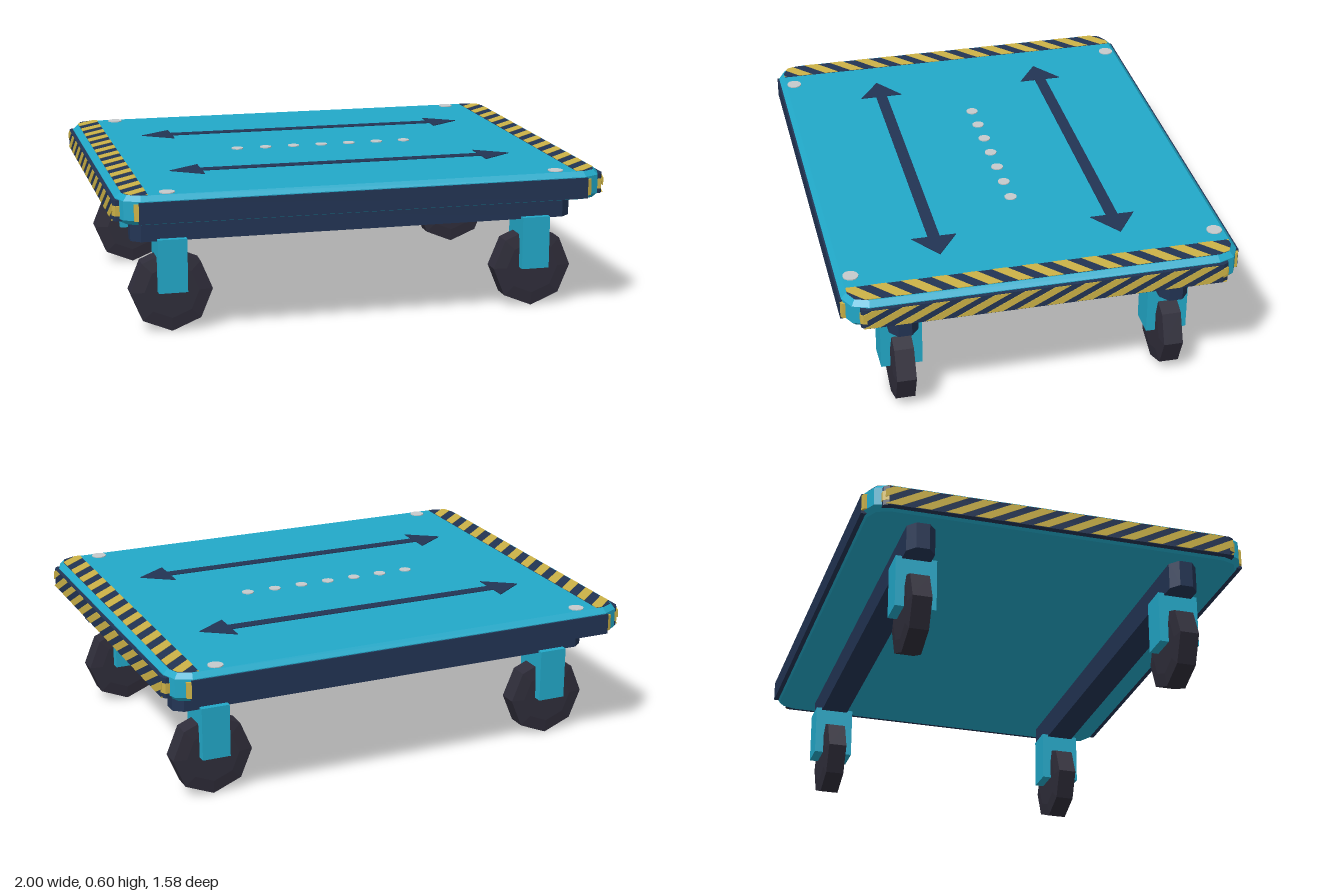
import * as THREE from 'three';

const mat = (name, color) => Object.assign(new THREE.MeshStandardMaterial({ color }), { name });

// Cut a convex polygon by a convex counter-clockwise outline
function clip(poly, outline) {
  outline.forEach((a, i) => {
    const b = outline[(i + 1) % outline.length];
    const side = (p) => (b[0] - a[0]) * (p[1] - a[1]) - (b[1] - a[1]) * (p[0] - a[0]);
    const out = [];
    poly.forEach((p, j) => {
      const q = poly[(j + 1) % poly.length], sp = side(p), sq = side(q);
      if (sp >= 0) out.push(p);
      if (sp * sq < 0) {
        const t = sp / (sp - sq);
        out.push([p[0] + (q[0] - p[0]) * t, p[1] + (q[1] - p[1]) * t]);
      }
    });
    poly = out;
  });
  return poly;
}

const toShape = (pts) => new THREE.Shape(pts.map(([x, y]) => new THREE.Vector2(x, y)));
const extrude = (shapes, depth, options = {}) =>
  new THREE.ExtrudeGeometry(shapes, { depth, bevelEnabled: false, ...options });

// Upright prism from a plan outline given as [x, -z]
const prism = (pts, y0, y1) =>
  extrude(toShape(pts), y1 - y0).rotateX(-Math.PI / 2).translate(0, y0, 0);

// Rectangle with cut corners, counter-clockwise, from one corner's points
function mirrored(corner) {
  const rev = [...corner].reverse();
  return [
    ...corner, ...rev.map(([x, y]) => [-x, y]),
    ...corner.map(([x, y]) => [-x, -y]), ...rev.map(([x, y]) => [x, -y]),
  ];
}

const rect = (x0, x1, y0, y1) => [[x0, y0], [x1, y0], [x1, y1], [x0, y1]];

export function createModel() {
  const model = new THREE.Group();
  model.name = 'platformDolly';
  const teal = mat('teal', 0x22a9c9);
  const navy = mat('navy', 0x223454);
  const yellow = mat('yellow', 0xccb247);
  const rubber = mat('rubber', 0x2f2d3a);
  const grey = mat('lightGrey', 0xc6cacc);

  const add = (name, geometry, material, parent = model) => {
    const mesh = new THREE.Mesh(geometry, material);
    mesh.name = name;
    parent.add(mesh);
    return mesh;
  };

  // Deck slab with cut corners and bevelled rims
  const deckTop = mirrored([[0.962, 0.685], [0.943, 0.738], [0.893, 0.763]]);
  add('deck', extrude(toShape(deckTop), 0.075, {
    bevelEnabled: true, bevelSize: 0.02, bevelThickness: 0.02, bevelSegments: 1,
  }).rotateX(-Math.PI / 2).translate(0, 0.505, 0), teal);

  // Each half carries one striped end and one plain bumper
  for (const turn of [0, Math.PI]) {
    const half = new THREE.Group();
    half.name = turn ? 'leftoverHalf' : 'mainHalf';
    half.name = turn ? 'rightBackTrim' : 'leftFrontTrim';
    half.rotation.y = turn;
    model.add(half);

    // Hazard band on the deck top
    const band = clip(rect(0.865, 0.958, -0.76, 0.76), deckTop);
    add('topBand', prism(band, 0.599, 0.6015), navy, half);
    const topBars = [];
    for (let v = -0.9; v < 0.9; v += 0.118) {
      const bar = clip([[0.865, v], [0.96, v + 0.085], [0.96, v + 0.144], [0.865, v + 0.059]], band);
      if (bar.length > 2) topBars.push(toShape(bar));
    }
    add('topStripes', extrude(topBars, 0.004).rotateX(-Math.PI / 2).translate(0, 0.599, 0), yellow, half);

    // Striped bumper on the end
    add('endBumper', prism([
      [0.95, -0.722], [0.985, -0.722], [0.998, -0.7], [0.998, 0.7], [0.985, 0.722], [0.95, 0.722],
    ], 0.495, 0.577), navy, half);
    const face = rect(-0.715, 0.715, 0.497, 0.575);
    const endBars = [];
    for (let u = -0.95; u < 0.8; u += 0.118) {
      const bar = clip([[u, 0.497], [u + 0.062, 0.497], [u + 0.212, 0.575], [u + 0.15, 0.575]], face);
      if (bar.length > 2) endBars.push(toShape(bar));
    }
    add('endStripes', extrude(endBars, 0.004).rotateY(Math.PI / 2).translate(0.996, 0, 0), yellow, half);

    // Plain bumper on the long side
    add('sideBumper', prism(rect(-0.905, 0.905, -0.79, -0.74), 0.493, 0.577), navy, half);

    // Painted bumper tips beside the corners
    for (const s of [-1, 1]) {
      const tip = [[0.9, -0.74], [0.922, -0.74], [0.922, -0.782], [0.905, -0.789]];
      add('sideBumperTip', prism(tip.map(([x, y]) => [s * x, y]), 0.505, 0.57), yellow, half);
      const cap = [[0.96, 0.69], [0.998, 0.7], [0.987, 0.725], [0.96, 0.725]];
      add('endBumperTip', prism(cap.map(([x, y]) => [x, s * y]), 0.515, 0.555), yellow, half);
    }
  }

  // Double-headed arrows along the deck
  const arrow = mirrored([[0.717, 0], [0.588, 0.09], [0.588, 0.024]])
    .filter(([x, y], i, all) => !i || x !== all[i - 1][0] || y !== all[i - 1][1]);
  arrow.pop();
  for (const z of [-0.364, 0.364]) {
    add('arrow', prism(arrow, 0.599, 0.603).translate(0, 0, z), navy);
  }

  // Grip studs across the middle and bolts at the corners
  const disc = (name, r, x, z) =>
    add(name, new THREE.CylinderGeometry(r, r, 0.006, 12).translate(x, 0.601, z), grey);
  for (let i = -3; i <= 3; i++) disc('gripStud', 0.025, i * 0.122, 0);

  // Octagonal wheel with a shallow rim bevel, corner pointing down
  const wheelGeo = new THREE.LatheGeometry([
    [0, -0.046], [0.11, -0.046], [0.165, -0.039], [0.165, 0.039], [0.11, 0.046], [0, 0.046],
  ].map(([r, y]) => new THREE.Vector2(r, y)), 8).rotateX(Math.PI / 2).toNonIndexed();
  wheelGeo.computeVertexNormals();

  const railPlan = mirrored([[0.91, 0.027], [0.872, 0.058]]);
  for (const sz of [-1, 1]) {
    // Support rail under the deck
    add('supportRail', prism(railPlan, 0.375, 0.5).translate(0, 0, sz * 0.543), navy);
    for (const sx of [-1, 1]) {
      disc('cornerBolt', 0.031, sx * 0.787, sz * 0.728);
      // Caster
      const caster = new THREE.Group();
      caster.name = 'caster';
      caster.position.set(sx * 0.752, 0.165, sz * 0.543);
      add('fork', new THREE.BoxGeometry(0.116, 0.217, 0.166).translate(0, 0.1115, 0), teal, caster);
      add('wheel', wheelGeo, rubber, caster);
      model.add(caster);
    }
  }
  return model;
}
